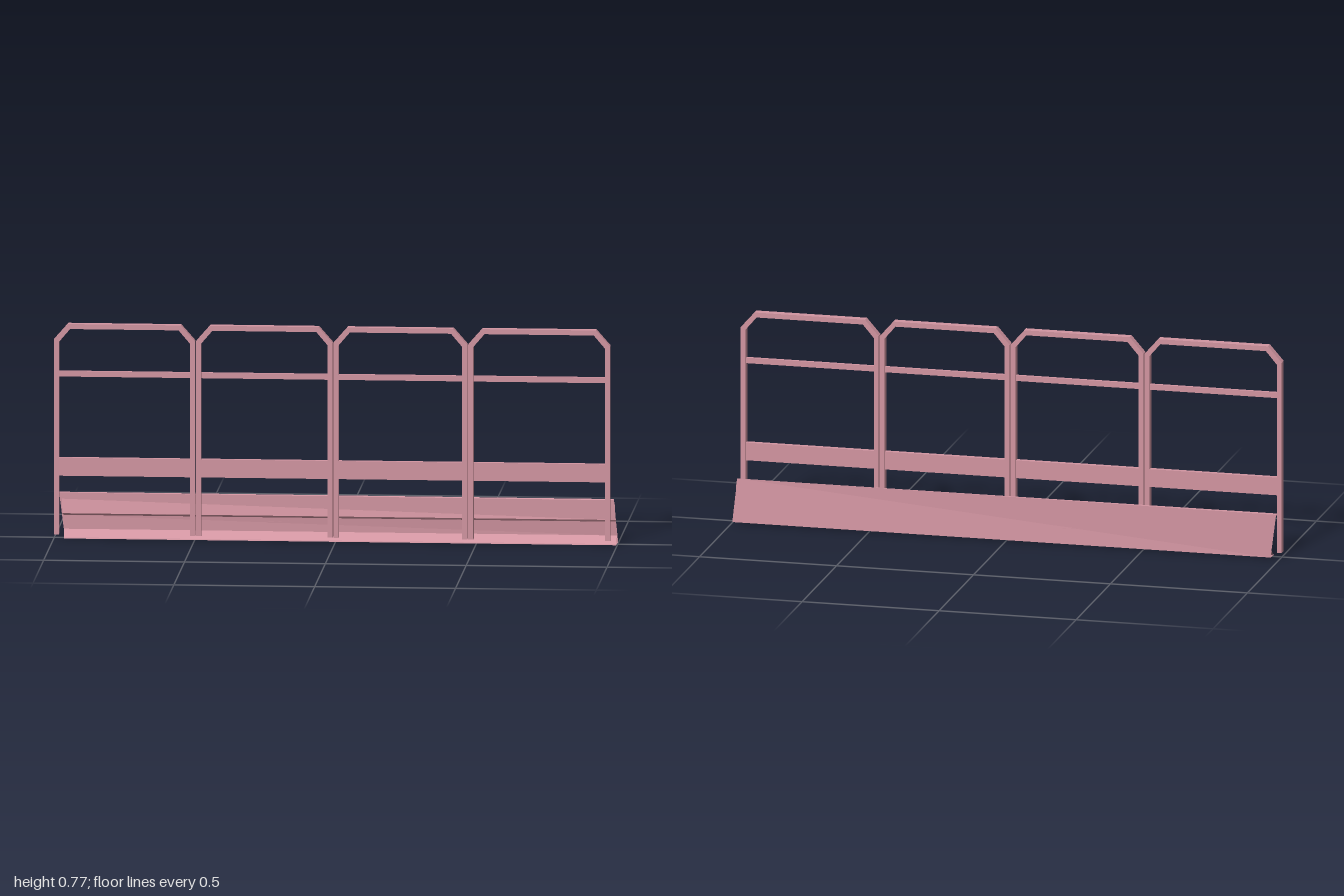
import * as THREE from 'three';

const pink = new THREE.MeshStandardMaterial({ color: 0xd295a1, side: THREE.DoubleSide });
pink.name = 'dusty pink paint';

const BACK = -0.003, DEPTH = 0.029;

function add(parent, geometry, name) {
  const mesh = new THREE.Mesh(geometry, pink);
  mesh.name = name;
  parent.add(mesh);
  return mesh;
}

// Flat bar bent into a hoop with chamfered shoulders, open at the bottom
function hoop(x0, x1) {
  const t = 0.018, foot = 0.015, shoulder = 0.713, top = 0.77, c = 0.05;
  const s = new THREE.Shape([
    [x0, foot], [x0, shoulder], [x0 + c, top], [x1 - c, top], [x1, shoulder], [x1, foot],
    [x1 - t, foot], [x1 - t, shoulder - 0.008], [x1 - c - 0.008, top - t],
    [x0 + c + 0.008, top - t], [x0 + t, shoulder - 0.008], [x0 + t, foot],
  ].map(([x, y]) => new THREE.Vector2(x, y)));
  const g = new THREE.ExtrudeGeometry(s, { depth: DEPTH, bevelEnabled: false });
  return g.translate(0, 0, BACK);
}

// Sheet metal strip: rows of matching [x, y, z] points at the left and right ends
function sheet(rows) {
  const pos = [];
  for (let i = 0; i < rows.length - 1; i++) {
    const [a, b] = rows[i], [c, d] = rows[i + 1];
    pos.push(...a, ...b, ...d, ...a, ...d, ...c);
  }
  const g = new THREE.BufferGeometry();
  g.setAttribute('position', new THREE.Float32BufferAttribute(pos, 3));
  g.computeVertexNormals();
  return g;
}

export function createModel() {
  const model = new THREE.Group();
  model.name = 'guardRail';

  // Four hoop frames, each with its own mid rail and board section
  const bays = [[-1, -0.499], [-0.495, -0.01], [-0.007, 0.468], [0.471, 0.975]];
  bays.forEach(([x0, x1], i) => {
    const bay = new THREE.Group();
    bay.name = 'bay' + (i + 1);
    add(bay, hoop(x0, x1), 'hoopFrame');
    const w = x1 - x0 - 0.03, mid = (x0 + x1) / 2;
    add(bay, new THREE.BoxGeometry(w, 0.02, 0.012), 'midRail').position.set(mid, 0.59, 0.011);
    add(bay, new THREE.BoxGeometry(w, 0.065, 0.018), 'lowerBoard').position.set(mid, 0.257, 0.011);
    model.add(bay);
  });

  // Kick channel: slightly twisted back plate with a top lip and a floor flange
  add(model, sheet([
    [[-0.965, 0, 0.023], [0.995, 0, 0.023]],
    [[-0.965, 0.002, -0.025], [1, 0.002, -0.025]],
    [[-0.985, 0.16, -0.025], [0.985, 0.16, -0.012]],
    [[-0.985, 0.16, -0.006], [0.985, 0.157, -0.004]],
    [[-0.985, 0.152, -0.006], [0.985, 0.149, -0.004]],
  ]), 'kickChannel');

  // Folded stiffener inside the channel
  add(model, sheet([
    [[-0.975, 0.135, -0.024], [0.988, 0.15, -0.012]],
    [[-0.972, 0.085, -0.012], [0.992, 0.085, -0.012]],
    [[-0.97, 0.078, -0.02], [0.993, 0.078, -0.017]],
    [[-0.967, 0.028, -0.02], [0.996, 0.028, -0.021]],
    [[-0.965, 0.002, 0.01], [0.995, 0.002, 0.01]],
  ]), 'channelStiffener');

  return model;
}
